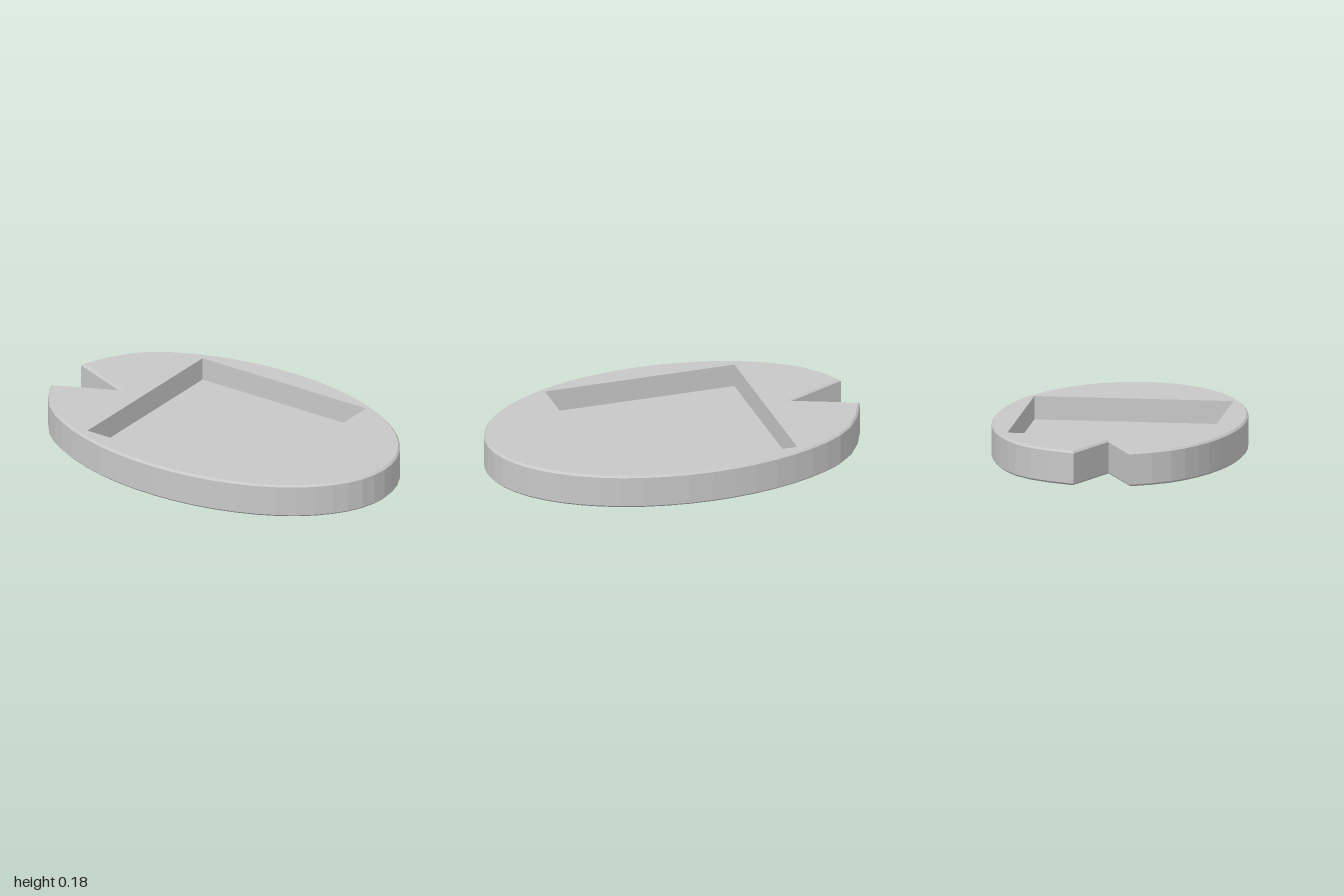
import * as THREE from 'three';

const HEIGHT = 0.18, BEVEL = 0.01, FLOOR = 0.057;

// Closed plan outline as (x, z): an oval with a wedge mouth cut into its -x end
function planOutline() {
  const pts = [];
  const a = 1.025, b = 0.658, cx = -0.027, limit = 2.4, steps = 40;
  for (let i = 0; i <= steps; i++) {
    const t = -limit + (2 * limit * i) / steps;
    pts.push(new THREE.Vector2(cx + a * Math.cos(t), b * Math.sin(t)));
  }
  const mouth = [[-0.86, 0.38], [-0.93, 0.29], [-0.99, 0.18], [-0.66, 0.025], [-1, -0.11], [-0.94, -0.25], [-0.87, -0.36]];
  mouth.forEach(([x, z]) => pts.push(new THREE.Vector2(x, z)));
  return pts;
}

// Mitred inward offset of the outline
function inset(pts, d) {
  const n = pts.length;
  return pts.map((p, i) => {
    const e0 = p.clone().sub(pts[(i + n - 1) % n]).normalize();
    const e1 = pts[(i + 1) % n].clone().sub(p).normalize();
    const n0 = new THREE.Vector2(-e0.y, e0.x), n1 = new THREE.Vector2(-e1.y, e1.x);
    return p.clone().add(n0.add(n1).multiplyScalar(d / (1 + e0.dot(e1))));
  });
}

// Wall through stacked [points, y] rings
function wall(rings) {
  const pos = [];
  for (let r = 0; r < rings.length - 1; r++) {
    const [lo, y0] = rings[r], [hi, y1] = rings[r + 1];
    lo.forEach((p, i) => {
      const j = (i + 1) % lo.length;
      const A = [p.x, y0, p.y], B = [lo[j].x, y0, lo[j].y];
      const C = [hi[j].x, y1, hi[j].y], D = [hi[i].x, y1, hi[i].y];
      pos.push(...A, ...C, ...B, ...A, ...D, ...C);
    });
  }
  const geo = new THREE.BufferGeometry();
  geo.setAttribute('position', new THREE.Float32BufferAttribute(pos, 3));
  geo.computeVertexNormals();
  return geo;
}

// Horizontal face, facing up or down
function cap(pts, y, up, hole) {
  const s = up ? -1 : 1;
  const flat = (list) => list.map((p) => new THREE.Vector2(p.x, s * p.y));
  const shape = new THREE.Shape(flat(pts));
  if (hole) shape.holes.push(new THREE.Path(flat(hole)));
  return new THREE.ShapeGeometry(shape).rotateX(s * Math.PI / 2).translate(0, y, 0);
}

export function createModel() {
  const group = new THREE.Group();
  group.name = 'ovalTray';
  const grey = new THREE.MeshStandardMaterial({ color: 0xc8c8c8 });
  grey.name = 'light grey';
  const add = (name, geo) => {
    const mesh = new THREE.Mesh(geo, grey);
    mesh.name = name;
    group.add(mesh);
  };

  const outer = planOutline();
  const rim = inset(outer, BEVEL);
  const pocket = [[-0.52, -0.523], [0.515, -0.523], [0.515, 0.52], [-0.52, 0.52]].map(([x, z]) => new THREE.Vector2(x, z));

  // Body with small bevels along both edges
  add('outerWall', wall([[rim, 0], [outer, BEVEL], [outer, HEIGHT - BEVEL], [rim, HEIGHT]]));
  add('topFace', cap(rim, HEIGHT, true, pocket));
  add('bottomFace', cap(rim, 0, false));

  // Square recess; its rings run downward so the walls face inward
  add('recessWall', wall([[pocket, HEIGHT], [pocket, FLOOR]]));
  add('recessFloor', cap(pocket, FLOOR, true));
  return group;
}
